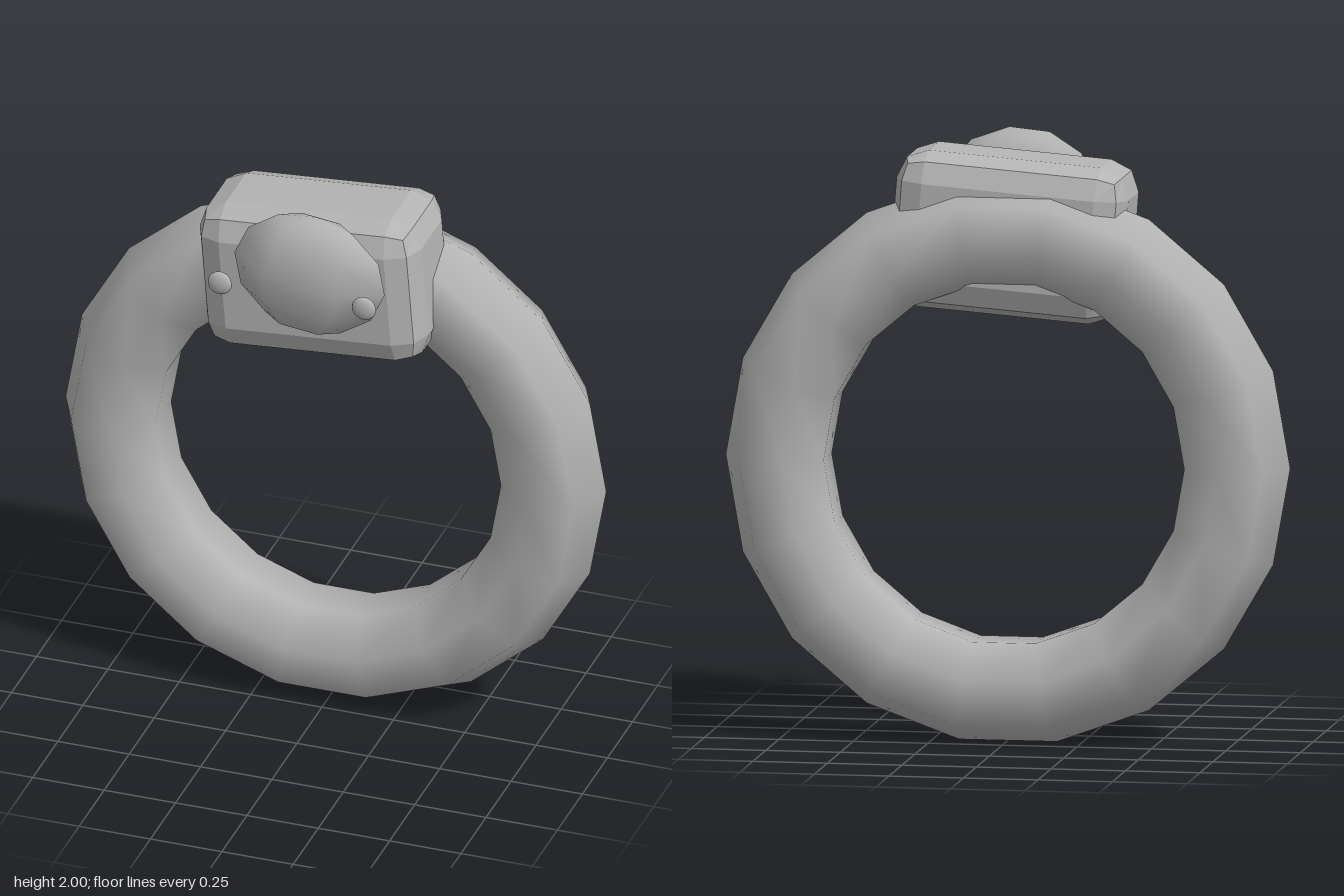
import * as THREE from 'three';
import { RoundedBoxGeometry } from 'three/addons/geometries/RoundedBoxGeometry.js';

export function createModel() {
  const model = new THREE.Group();
  const grey = new THREE.MeshStandardMaterial({ color: 0xb4b4b4 });
  grey.name = 'plain grey';

  function add(name, geometry, x, y, z) {
    const mesh = new THREE.Mesh(geometry, grey);
    mesh.name = name;
    mesh.position.set(x, y, z);
    model.add(mesh);
    return mesh;
  }

  // Upright ring, coarse tube with smooth normals
  add('ring', new THREE.TorusGeometry(0.767, 0.18, 7, 18), 0, 0.933, -0.14);

  // Faceted mounting block on top of the ring, slightly tilted
  const blockShape = new RoundedBoxGeometry(0.78, 0.525, 0.4, 1, 0.1);
  blockShape.computeVertexNormals();
  add('mountBlock', blockShape, 0, 1.68, -0.025).rotation.z = 0.078;

  // Flattened low-poly dome on the front of the block
  const dome = new THREE.SphereGeometry(1, 6, 6);
  dome.scale(0.265, 0.222, 0.109);
  dome.rotateZ(-0.12);
  add('frontDome', dome, 0.028, 1.78, 0.204);

  // Small flat studs either side of the dome
  for (const [name, x] of [['rightStud', -0.255], ['leftStud', 0.25]]) {
    const stud = new THREE.SphereGeometry(1, 16, 12);
    stud.scale(0.042, 0.042, 0.018);
    add(name, stud, x, 1.74, 0.294);
  }

  return model;
}
